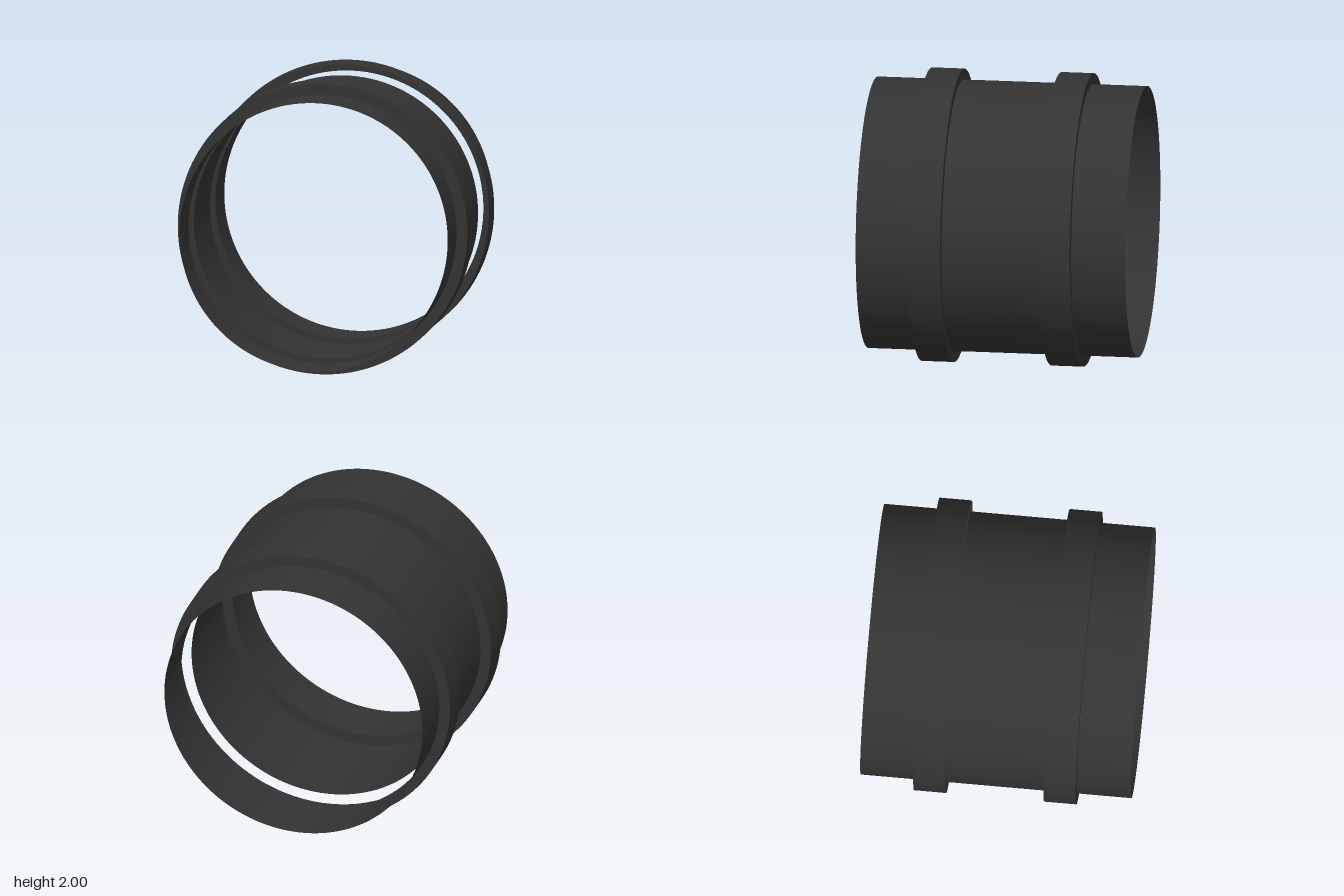
import * as THREE from 'three';

const SEGMENTS = 128;
const WALL_R = 0.925, RIB_R = 1;
const END = 0.925, RIB_OUT = 0.555, RIB_IN = 0.335;

export function createModel() {
  const group = new THREE.Group();
  group.name = 'ribbedSleeve';
  const rubber = new THREE.MeshStandardMaterial({ color: 0x333333, side: THREE.DoubleSide });
  rubber.name = 'black rubber';

  const add = (name, geometry, z) => {
    const mesh = new THREE.Mesh(geometry, rubber);
    mesh.name = name;
    mesh.position.set(0, 1, z);
    group.add(mesh);
  };

  // Thin open tube along z
  const tube = (name, radius, z0, z1) => {
    const geometry = new THREE.CylinderGeometry(radius, radius, z1 - z0, SEGMENTS, 1, true);
    add(name, geometry.rotateX(Math.PI / 2), (z0 + z1) / 2);
  };

  // Flat step joining the wall to a rib, facing along z
  const step = (name, z, facing) => {
    const geometry = new THREE.RingGeometry(WALL_R, RIB_R, SEGMENTS);
    if (facing < 0) geometry.rotateY(Math.PI);
    add(name, geometry, z);
  };

  // Wall sections
  tube('backCollar', WALL_R, -END, -RIB_OUT);
  tube('middleWall', WALL_R, -RIB_IN, RIB_IN);
  tube('frontCollar', WALL_R, RIB_OUT, END);

  // Hollow ribs
  tube('backRib', RIB_R, -RIB_OUT, -RIB_IN);
  tube('frontRib', RIB_R, RIB_IN, RIB_OUT);

  // Steps; the inner side of the back rib is an open slot
  step('backRibOuterStep', -RIB_OUT, -1);
  step('frontRibInnerStep', RIB_IN, -1);
  step('frontRibOuterStep', RIB_OUT, 1);

  return group;
}
